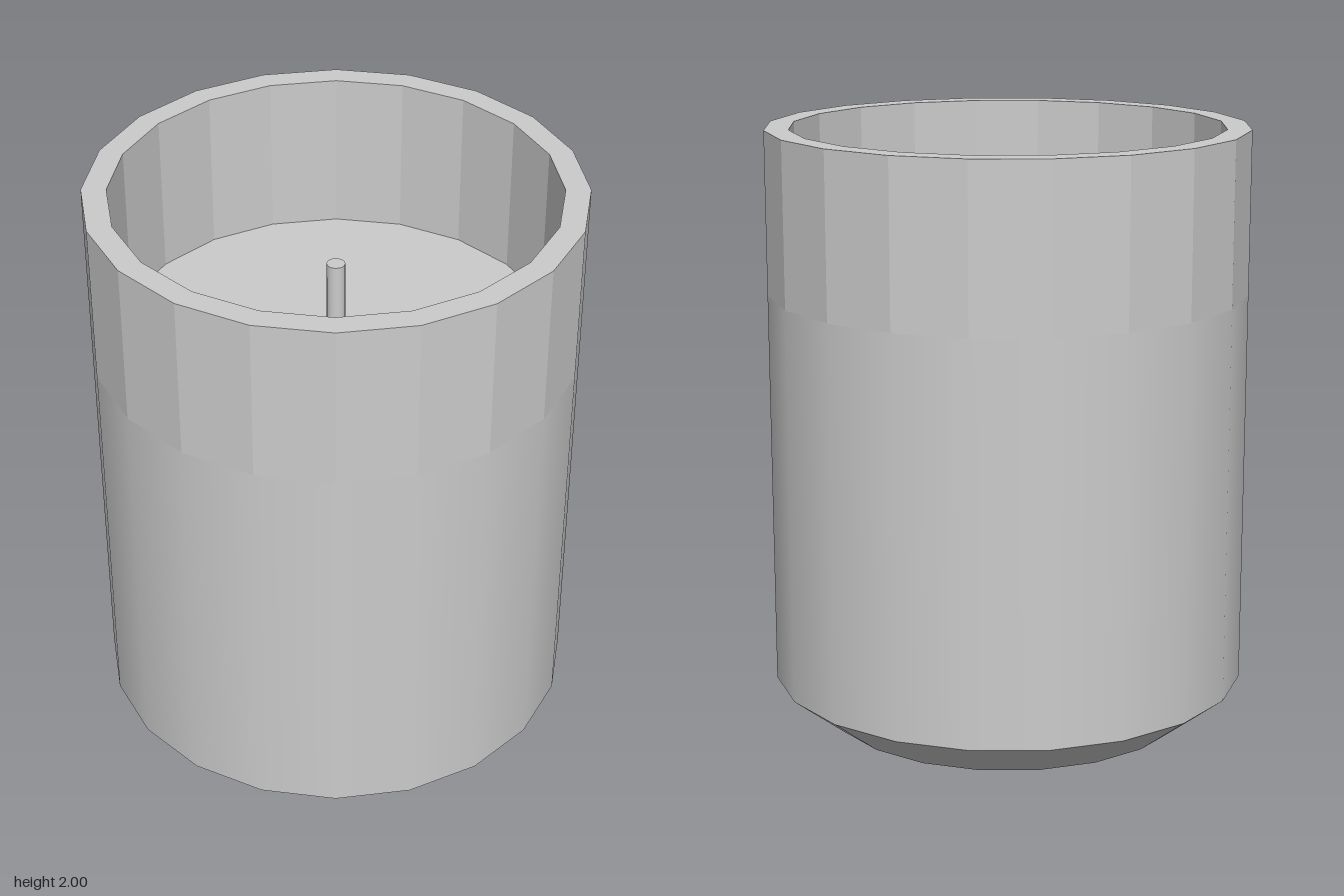
import * as THREE from 'three';

const SIDES = 20;
const OUTER = 0.795, INNER = 0.715, BASE = 0.615;
const BEVEL_Y = 0.14, FILL_Y = 1.46, TOP = 2;

const smooth = new THREE.MeshStandardMaterial({ color: 0xcccccc });
const flat = new THREE.MeshStandardMaterial({ color: 0xcccccc, flatShading: true });

export function createModel() {
  const group = new THREE.Group();
  const add = (name, geometry, material, y = 0) => {
    const mesh = new THREE.Mesh(geometry, material);
    mesh.name = name;
    mesh.position.y = y;
    group.add(mesh);
  };
  // Lathe through [radius, height] points
  const turn = (points) =>
    new THREE.LatheGeometry(points.map(([r, y]) => new THREE.Vector2(r, y)), SIDES);

  // Closed underside with its faceted bevel
  add('base', turn([[0, 0], [BASE, 0], [OUTER, BEVEL_Y]]), flat);

  // Smooth-shaded outer wall
  add('body', turn([[OUTER, BEVEL_Y], [OUTER, FILL_Y]]), smooth);

  // Faceted rim: outer wall, flat lip, inner wall and the recessed wax surface
  add('rim', turn([[OUTER, FILL_Y], [OUTER, TOP], [INNER, TOP], [INNER, FILL_Y]]), flat);
  add('waxSurface', turn([[INNER, FILL_Y], [0, FILL_Y]]), flat);

  // Wick standing in the middle of the wax
  const wickHeight = 0.27;
  add('wick', new THREE.CylinderGeometry(0.03, 0.03, wickHeight, SIDES), smooth, FILL_Y + wickHeight / 2);

  return group;
}
